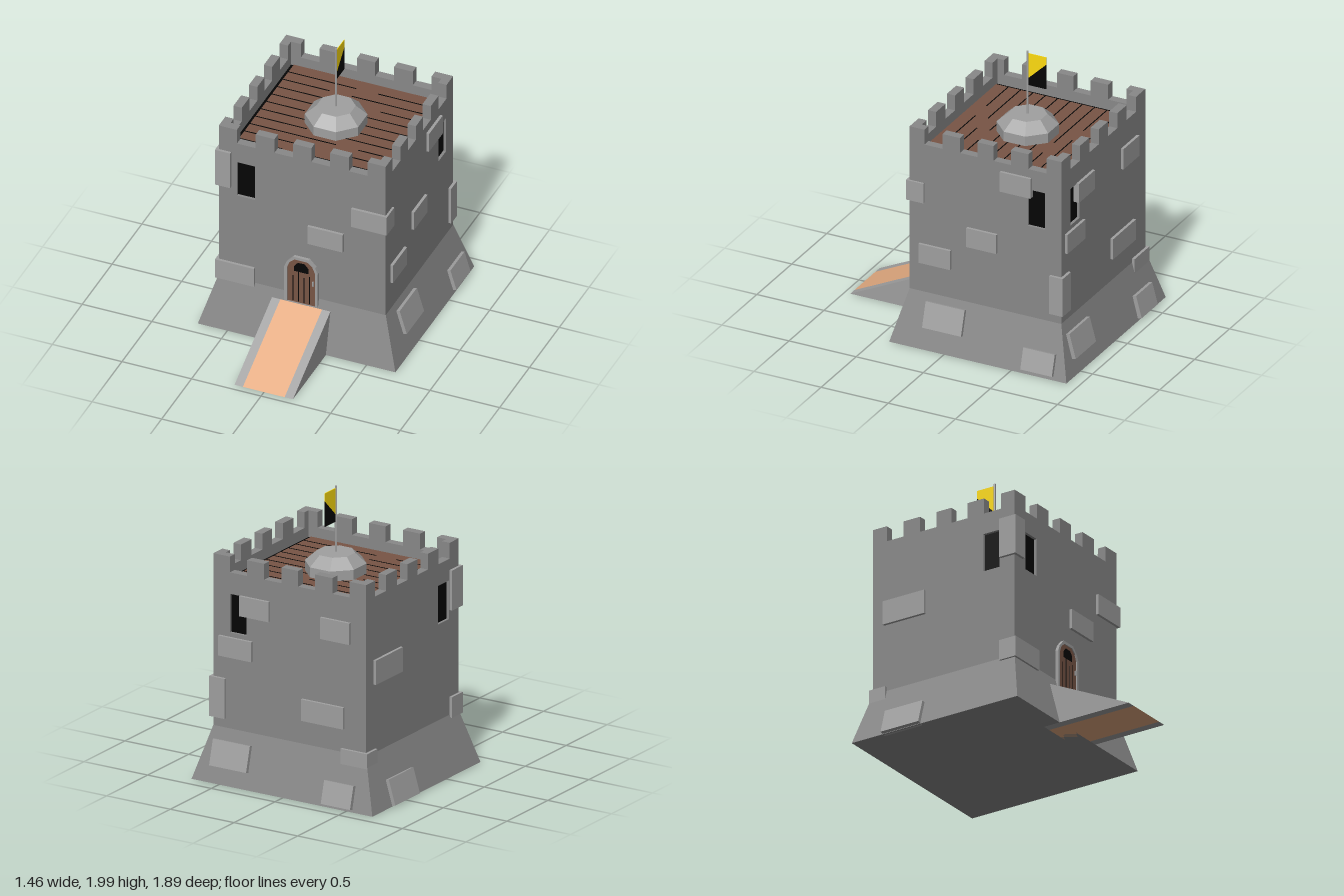
import * as THREE from 'three';

const mat = (color) => new THREE.MeshStandardMaterial({ color, flatShading: true });
const wallGrey = mat(0x898989);
const stone = mat(0xa0a0a0);
const black = mat(0x050505);
const wood = mat(0x785545);
const tan = mat(0xe3aa80);
const yellow = mat(0xffdd11);

const CZ = -0.255; // tower centre in z
const HX = 0.6, HZ = 0.565; // tower half sizes
const THICK = 0.06, FLARE_TOP = 0.38, PARAPET = 1.47, TOP = 1.58, FLOOR = 1.4;

function add(parent, name, geometry, material, x = 0, y = 0, z = 0) {
  const mesh = new THREE.Mesh(geometry, material);
  mesh.name = name;
  mesh.position.set(x, y, z);
  parent.add(mesh);
  return mesh;
}
const box = (w, h, d) => new THREE.BoxGeometry(w, h, d);
const polygon = (pts) => new THREE.Shape(pts.map(([x, y]) => new THREE.Vector2(x, y)));
const extrude = (shape, depth) => new THREE.ExtrudeGeometry(shape, { depth, bevelEnabled: false });

// Wall panel with battlements along the top and one window opening
function wallGeometry(half, edges, windowU) {
  const cuts = [...edges, ...edges.map((e) => -e).reverse()];
  const pts = [[half, FLARE_TOP - 0.02], [half, TOP]];
  cuts.forEach((u, i) => {
    const high = i % 2 === 0;
    pts.push([u, high ? TOP : PARAPET], [u, high ? PARAPET : TOP]);
  });
  pts.push([-half, TOP], [-half, FLARE_TOP - 0.02]);
  const shape = polygon(pts);
  const [a, b] = [windowU - 0.065, windowU + 0.065];
  shape.holes.push(polygon([[a, 1.05], [a, 1.32], [b, 1.32], [b, 1.05]]));
  return extrude(shape, THICK);
}

// Each face: u runs to the viewer's right; stones are [u, y, width, height, depth]
const FACES = [
  { name: 'front', turn: 0, dist: HZ, half: HX, edges: [0.47, 0.335, 0.2, 0.065], win: -0.405, slope: 0.09,
    stones: [[-0.565, 1.25, 0.11, 0.28, 0.13], [0.487, 1.112, 0.257, 0.145, 0.13],
      [0.172, 0.885, 0.255, 0.14, 0.05], [-0.48, 0.432, 0.28, 0.145, 0.13]],
    flareStones: [] },
  { name: 'right', turn: 1, dist: HX, half: HZ - THICK, edges: [0.455, 0.32, 0.19, 0.06], win: 0.38, slope: 0.11,
    stones: [[0.23, 1.337, 0.23, 0.145, 0.05], [-0.022, 0.865, 0.225, 0.14, 0.05],
      [-0.372, 0.665, 0.235, 0.14, 0.05]],
    flareStones: [[-0.28, 0.24, 0.29, 0.18], [0.442, 0.108, 0.235, 0.15]] },
  { name: 'back', turn: 2, dist: HZ, half: HX, edges: [0.47, 0.335, 0.2, 0.065], win: -0.405, slope: 0.1,
    stones: [[-0.27, 1.255, 0.23, 0.14, 0.05], [-0.42, 0.95, 0.26, 0.14, 0.05],
      [0.365, 1.22, 0.23, 0.15, 0.05], [0.265, 0.62, 0.33, 0.15, 0.05],
      [-0.56, 0.585, 0.12, 0.28, 0.1], [0.515, 0.335, 0.21, 0.145, 0.13]],
    flareStones: [[-0.428, 0.21, 0.29, 0.18], [0.435, 0.105, 0.23, 0.16]] },
  { name: 'left', turn: 3, dist: HX, half: HZ - THICK, edges: [0.455, 0.32, 0.19, 0.06], win: 0.38, slope: 0.11,
    stones: [[-0.31, 0.945, 0.33, 0.17, 0.05]],
    flareStones: [[-0.265, 0.1, 0.3, 0.18]] },
];

function buildFace(f) {
  const face = new THREE.Group();
  face.name = f.name + 'Side';
  face.position.z = CZ;
  face.rotation.y = f.turn * Math.PI / 2;
  add(face, f.name + 'Wall', wallGeometry(f.half, f.edges, f.win), wallGrey, 0, 0, f.dist - THICK);
  add(face, f.name + 'Window', box(0.15, 0.29, 0.02), black, f.win, 1.185, f.dist - 0.03);
  for (const [u, y, w, h, d] of f.stones) {
    add(face, f.name + 'Stone', box(w, h, d), stone, u, y, f.dist + 0.02 - d / 2);
  }
  // Stones leaning with the sloping base
  for (const [u, y, w, h] of f.flareStones) {
    const out = f.dist + f.slope * (FLARE_TOP - y) / (FLARE_TOP - 0.01);
    const m = add(face, f.name + 'BaseStone', box(w, h, 0.05), stone, u, y, out);
    m.rotation.x = -Math.atan(f.slope / (FLARE_TOP - 0.01));
  }
  return face;
}

// Sloping base: a box whose bottom corners are pushed outward
function flareGeometry() {
  const g = box(2 * HX, FLARE_TOP - 0.01, 2 * HZ);
  const p = g.attributes.position;
  for (let i = 0; i < p.count; i++) {
    if (p.getY(i) > 0) continue;
    p.setX(i, Math.sign(p.getX(i)) * 0.71);
    p.setZ(i, Math.sign(p.getZ(i)) * 0.66);
  }
  g.computeVertexNormals();
  return g;
}

// Door outline with a faceted arch; grow widens it on the sides and top
const arch = (grow) => {
  const r = [[0.1 + grow, 0.32], [0.1 + grow, 0.59], [0.082 + grow, 0.635], [0.045 + grow * 0.5, 0.665 + grow]];
  return [...r, ...r.map(([x, y]) => [-x, y]).reverse()];
};

function buildDoor() {
  const door = new THREE.Group();
  door.name = 'door';
  const frame = polygon(arch(0.02));
  frame.holes.push(polygon(arch(0)));
  add(door, 'doorFrame', extrude(frame, 0.053), stone, 0, 0, 0.28);
  add(door, 'doorPanel', extrude(polygon(arch(0)), 0.046), wood, 0, 0, 0.28);
  for (const [x, y, h] of [[-0.06, 0.43, 0.2], [-0.02, 0.45, 0.24], [0.02, 0.43, 0.2], [0.06, 0.44, 0.22]]) {
    add(door, 'doorGap', box(0.005, h, 0.004), black, x, y, 0.326);
  }
  const hatch = polygon([[-0.05, 0.57], [0.05, 0.57], [0.05, 0.61], [0.025, 0.64], [-0.025, 0.64], [-0.05, 0.61]]);
  add(door, 'doorHatch', extrude(hatch, 0.004), black, 0, 0, 0.325);
  add(door, 'doorHandle', box(0.01, 0.035, 0.012), stone, 0.085, 0.5, 0.329);
  return door;
}

function buildRamp() {
  const ramp = new THREE.Group();
  ramp.name = 'ramp';
  const wedge = (w) => extrude(polygon([[0.28, 0.01], [0.955, 0.01], [0.31, 0.32], [0.28, 0.32]]), w)
    .rotateY(-Math.PI / 2).translate(w / 2, 0, 0);
  add(ramp, 'rampDeck', wedge(0.3), tan);
  for (const s of [-1, 1]) add(ramp, 'rampEdge', wedge(0.06), stone, s * 0.18);
  return ramp;
}

function buildRoof() {
  const roof = new THREE.Group();
  roof.name = 'roof';
  add(roof, 'roofUnderlay', box(1.09, 0.04, 1.02), black, 0, FLOOR - 0.026, CZ);
  const count = 11, pitch = 1.01 / count;
  for (let i = 0; i < count; i++) {
    const z = CZ - 0.505 + pitch * (i + 0.5);
    add(roof, 'roofPlank', box(1.04, 0.02, pitch), wood, 0, FLOOR - 0.01, z);
    if (i === 0) continue;
    // Dark cracks of varied length between the planks
    const split = -0.2 + 0.4 * ((i * 0.618) % 1);
    for (const [a, b] of [[-0.52, split - 0.08], [split + 0.08, 0.52]]) {
      add(roof, 'plankGap', box(b - a, 0.004, 0.007), black, (a + b) / 2, FLOOR, z - pitch / 2);
    }
  }
  // Octagonal cap with flat sides facing the walls
  const k = 1 / Math.cos(Math.PI / 8);
  const octagon = (top, bottom, h) => new THREE.CylinderGeometry(top * k, bottom * k, h, 8).rotateY(Math.PI / 8);
  add(roof, 'capBase', octagon(0.192, 0.192, 0.08), stone, 0, 1.43, CZ - 0.003);
  add(roof, 'capTop', octagon(0.12, 0.192, 0.07), stone, 0, 1.505, CZ - 0.003);
  return roof;
}

function buildFlag() {
  const flag = new THREE.Group();
  flag.name = 'flag';
  flag.position.z = CZ;
  add(flag, 'flagPole', new THREE.CylinderGeometry(0.008, 0.008, 0.47, 8), stone, 0, 1.765, 0);
  // Shape x runs backward from the pole
  const cloth = (pts) => extrude(polygon(pts), 0.004).rotateY(Math.PI / 2).translate(-0.002, 0, 0);
  add(flag, 'flagUpper', cloth([[0.006, 1.8], [0.14, 1.93], [0.14, 1.985], [0.006, 1.985]]), yellow);
  add(flag, 'flagLower', cloth([[0.006, 1.75], [0.14, 1.75], [0.14, 1.93], [0.006, 1.8]]), black);
  return flag;
}

export function createModel() {
  const tower = new THREE.Group();
  tower.name = 'tower';
  add(tower, 'slopingBase', flareGeometry(), wallGrey, 0, (FLARE_TOP + 0.01) / 2, CZ);
  for (const f of FACES) tower.add(buildFace(f));
  tower.add(buildDoor(), buildRamp(), buildRoof(), buildFlag());
  return tower;
}
